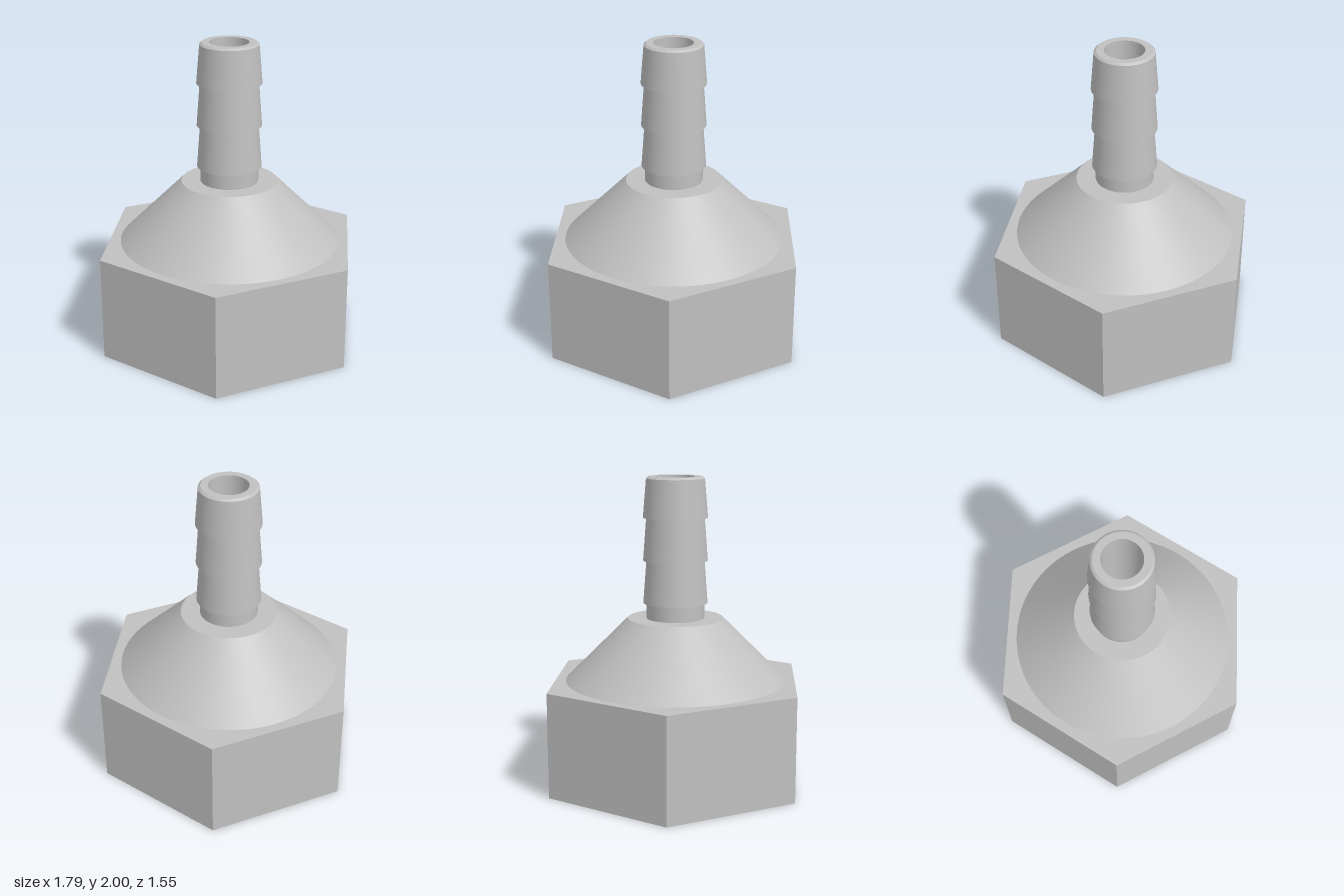
import * as THREE from 'three';
import { mergeGeometries } from 'three/addons/utils/BufferGeometryUtils.js';

const SEG = 72;

// Lathe whose profile segments keep sharp edges between them
function sharpLathe(profile) {
  const parts = [];
  for (let i = 0; i < profile.length - 1; i++) {
    const pair = [profile[i], profile[i + 1]].map(([r, y]) => new THREE.Vector2(r, y));
    parts.push(new THREE.LatheGeometry(pair, SEG));
  }
  return mergeGeometries(parts);
}

// Inward-facing helical V thread, clipped flat at both ends
function threadGeometry(crest, root, y0, y1, pitch) {
  const strips = [];
  const point = (k, i) => {
    const t = i / SEG;
    const y = THREE.MathUtils.clamp(y0 + (k / 2 + t) * pitch, y0, y1);
    const phase = (y - y0) / pitch - t;
    const f = phase - Math.floor(phase);
    const r = crest + (root - crest) * (1 - Math.abs(2 * f - 1));
    return [r * Math.cos(t * 2 * Math.PI), y, -r * Math.sin(t * 2 * Math.PI)];
  };
  const last = Math.ceil(2 * (y1 - y0) / pitch);
  for (let k = -2; k < last; k++) {
    const pos = [], idx = [];
    for (let i = 0; i <= SEG; i++) {
      const low = point(k, i), high = point(k + 1, i);
      pos.push(...low, ...high);
      if (i === SEG) continue;
      const a = 2 * i;
      const rise = Math.max(high[1], point(k + 1, i + 1)[1]) - Math.min(low[1], point(k, i + 1)[1]);
      if (rise > 1e-6) idx.push(a, a + 1, a + 2, a + 1, a + 3, a + 2);
    }
    if (!idx.length) continue;
    const g = new THREE.BufferGeometry();
    g.setAttribute('position', new THREE.Float32BufferAttribute(pos, 3));
    g.setIndex(idx);
    g.computeVertexNormals();
    strips.push(g);
  }
  return mergeGeometries(strips);
}

export function createModel() {
  const group = new THREE.Group();
  const metal = new THREE.MeshStandardMaterial({ color: 0xc0c0c0 });
  metal.name = 'grey metal';
  const add = (name, geometry) => {
    const mesh = new THREE.Mesh(geometry, metal);
    mesh.name = name;
    group.add(mesh);
  };

  // Hexagonal nut with a round socket
  const hexR = 0.897, hexH = 0.685, rootR = 0.68, crestR = 0.63;
  const hex = new THREE.Shape();
  for (let i = 0; i < 6; i++) {
    const a = i * Math.PI / 3;
    hex[i ? 'lineTo' : 'moveTo'](hexR * Math.cos(a), hexR * Math.sin(a));
  }
  hex.closePath();
  hex.holes.push(new THREE.Path().absarc(0, 0, rootR, 0, Math.PI * 2, true));
  const nut = new THREE.ExtrudeGeometry(hex, { depth: hexH, bevelEnabled: false, curveSegments: 36 });
  nut.rotateX(-Math.PI / 2);
  add('hexNut', nut);

  // Chamfered mouth and internal thread
  add('socketChamfer', sharpLathe([[crestR, 0.055], [rootR, 0]]));
  add('internalThread', threadGeometry(crestR, rootR - 0.003, 0.055, 0.66, 0.1175));

  // Conical shoulder
  add('shoulder', sharpLathe([[0.715, hexH], [0.31, 1.09], [0.187, 1.09]]));

  // Hose stem with three barbs
  const stemR = 0.187, barbR = 0.208;
  const stem = [[stemR, 1.09]];
  for (const y of [1.19, 1.465, 1.74]) {
    stem.push([stemR, y], [barbR, y], [stemR, y < 1.7 ? y + 0.275 : 1.988]);
  }
  stem.push([0.172, 2], [0.125, 2]);
  add('barbedStem', sharpLathe(stem));

  // Through bore and socket ceiling
  add('bore', sharpLathe([[0.125, 2], [0.125, 0.66], [rootR, 0.66]]));

  return group;
}
